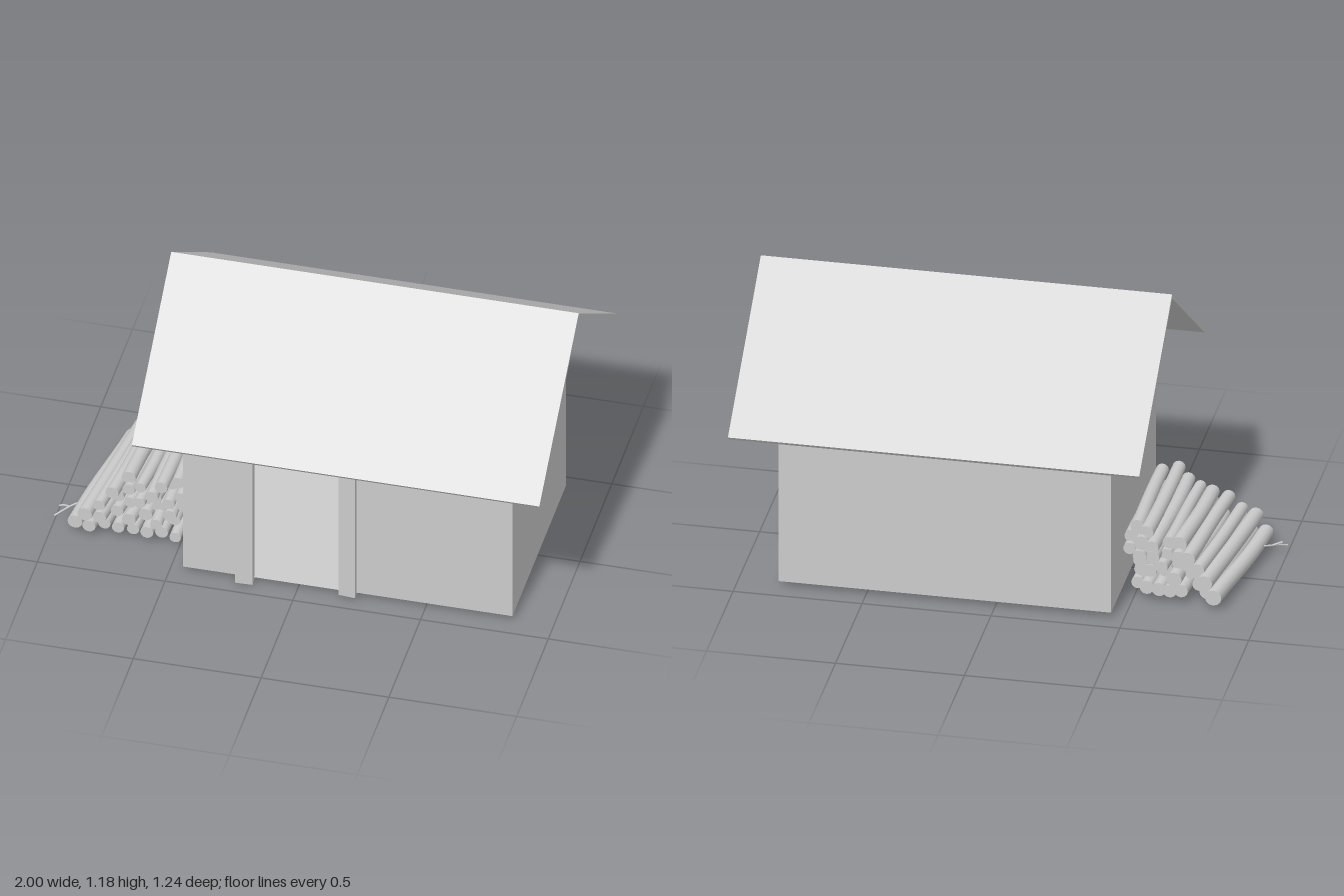
import * as THREE from 'three';

const grey = new THREE.MeshStandardMaterial({ color: 0xcccccc });
const thin = new THREE.MeshStandardMaterial({ color: 0xcccccc, side: THREE.DoubleSide });

const X0 = -0.45, X1 = 0.84, ZW = 0.42, FLOOR = 0.02, EAVE = 0.71;

function add(parent, name, geometry, material = grey) {
  const mesh = new THREE.Mesh(geometry, material);
  mesh.name = name;
  parent.add(mesh);
  return mesh;
}

const outline = (points) => new THREE.Shape(points.map(([x, y]) => new THREE.Vector2(x, y)));
const extrude = (points, depth) =>
  new THREE.ExtrudeGeometry(outline(points), { depth, bevelEnabled: false });

// seeded random numbers in -1..1
function makeRandom(seed) {
  return () => {
    seed = (seed * 16807) % 2147483647;
    return (seed / 2147483647) * 2 - 1;
  };
}

// hollow room: thin walls that run up under the roof, doorway cut in the front
function buildWalls() {
  const walls = new THREE.Group();
  walls.name = 'walls';
  const top = 0.85, door = 0.2, doorTop = 0.615;
  add(walls, 'frontWall', new THREE.ShapeGeometry(outline([
    [X0, FLOOR], [-door, FLOOR], [-door, doorTop], [door, doorTop], [door, FLOOR],
    [X1, FLOOR], [X1, top], [X0, top],
  ])), thin).position.z = ZW;
  add(walls, 'backWall', new THREE.ShapeGeometry(outline([
    [X1, FLOOR], [X0, FLOOR], [X0, top], [X1, top],
  ])).rotateY(Math.PI).translate(X0 + X1, 0, -ZW), thin);

  for (const [name, x, turn] of [['leftWall', X1, 1], ['rightWall', X0, -1]]) {
    const wall = add(walls, name, new THREE.PlaneGeometry(2 * ZW, EAVE - FLOOR), thin);
    wall.rotation.y = turn * Math.PI / 2;
    wall.position.set(x, (EAVE + FLOOR) / 2, 0);
  }
  const floor = add(walls, 'floor', new THREE.PlaneGeometry(X1 - X0, 2 * ZW), thin);
  floor.rotation.x = -Math.PI / 2;
  floor.position.set((X0 + X1) / 2, FLOOR, 0);
  return walls;
}

// two sloping slabs over a pair of thin gable boards
function buildRoof() {
  const roof = new THREE.Group();
  roof.name = 'roof';
  const length = 1.595;
  for (const [name, s] of [['frontRoofSlab', -1], ['backRoofSlab', 1]]) {
    const slab = [[0, 1.185], [0, 1.168], [s * 0.612, 0.709], [s * 0.622, 0.722]];
    const mesh = add(roof, name, extrude(slab, length));
    mesh.rotation.y = Math.PI / 2;
    mesh.position.x = -0.6;
  }
  for (const [name, x] of [['leftGable', X1 - 0.01], ['rightGable', X0]]) {
    const mesh = add(roof, name, extrude([[-0.61, EAVE], [0.61, EAVE], [0, 1.168]], 0.01));
    mesh.rotation.y = Math.PI / 2;
    mesh.position.x = x;
  }
  return roof;
}

// crooked door frame
function buildDoorFrame() {
  const frame = new THREE.Group();
  frame.name = 'doorFrame';
  const parts = {
    rightPost: [[-0.24, 0], [-0.172, 0.002], [-0.172, 0.595], [-0.24, 0.59]],
    leftPost: [[0.166, 0.016], [0.23, 0.012], [0.23, 0.61], [0.166, 0.605]],
    lintel: [[-0.28, 0.588], [-0.17, 0.59], [-0.12, 0.598], [0.1, 0.603], [0.2, 0.612],
      [0.262, 0.612], [0.262, 0.662], [0.1, 0.655], [-0.28, 0.635]],
  };
  for (const [name, points] of Object.entries(parts)) {
    add(frame, name, extrude(points, 0.034)).position.z = 0.411;
  }
  return frame;
}

// log along z whose middle line leans and bends a little
function logGeometry(radius, back, front, lean, bendX, bendY, taper) {
  const g = new THREE.CylinderGeometry(radius, radius * taper, front - back, 12, 6);
  g.rotateX(Math.PI / 2).translate(0, 0, (front + back) / 2);
  const p = g.attributes.position;
  for (let i = 0; i < p.count; i++) {
    const z = p.getZ(i), t = (front - z) / (front - back);
    p.setX(i, p.getX(i) + lean * (front - z) + bendX * Math.sin(t * Math.PI * 1.5));
    p.setY(i, p.getY(i) + bendY * Math.sin(t * Math.PI));
  }
  g.computeBoundingSphere();
  return g;
}

// stepped stack of logs beside the wall, with a forked twig on the outermost log
function buildWoodpile() {
  const pile = new THREE.Group();
  pile.name = 'woodpile';
  const random = makeRandom(4711);
  const rows = [[0.053, -0.905], [0.108, -0.862], [0.152, -0.812], [0.196, -0.765],
    [0.245, -0.713], [0.288, -0.565]];
  rows.forEach(([y, start], row) => {
    for (let x = start, i = 0; x < -0.48; x += 0.056, i++) {
      const big = i === 0 && row < 2;
      const lean = THREE.MathUtils.clamp((-0.5 - x) * 0.36, 0, 0.14);
      const radius = big ? 0.029 : 0.025 + 0.003 * random();
      const front = big ? 0.29 + 0.02 * row : 0.26 + 0.05 * random();
      const back = big ? -0.29 : -0.24 + 0.045 * random();
      const log = add(pile, 'log',
        logGeometry(radius, back, front, lean, 0.006 * random(), 0.006 * random() - 0.004, 1.1));
      log.position.set(x, y + 0.006 * random(), 0);
    }
  });
  const v = (x, y, z) => new THREE.Vector3(x, y, z);
  const twigs = [
    [v(-0.89, 0.06, 0.15), v(-0.94, 0.05, 0.185), v(-0.97, 0.042, 0.215), v(-0.998, 0.03, 0.24)],
    [v(-0.95, 0.048, 0.195), v(-0.97, 0.055, 0.2), v(-0.985, 0.058, 0.21)],
  ];
  for (const points of twigs) {
    add(pile, 'twig', new THREE.TubeGeometry(new THREE.CatmullRomCurve3(points), 8, 0.004, 6), thin);
  }
  return pile;
}

export function createModel() {
  const model = new THREE.Group();
  model.name = 'cabin';
  model.add(buildWalls(), buildRoof(), buildDoorFrame(), buildWoodpile());
  return model;
}
